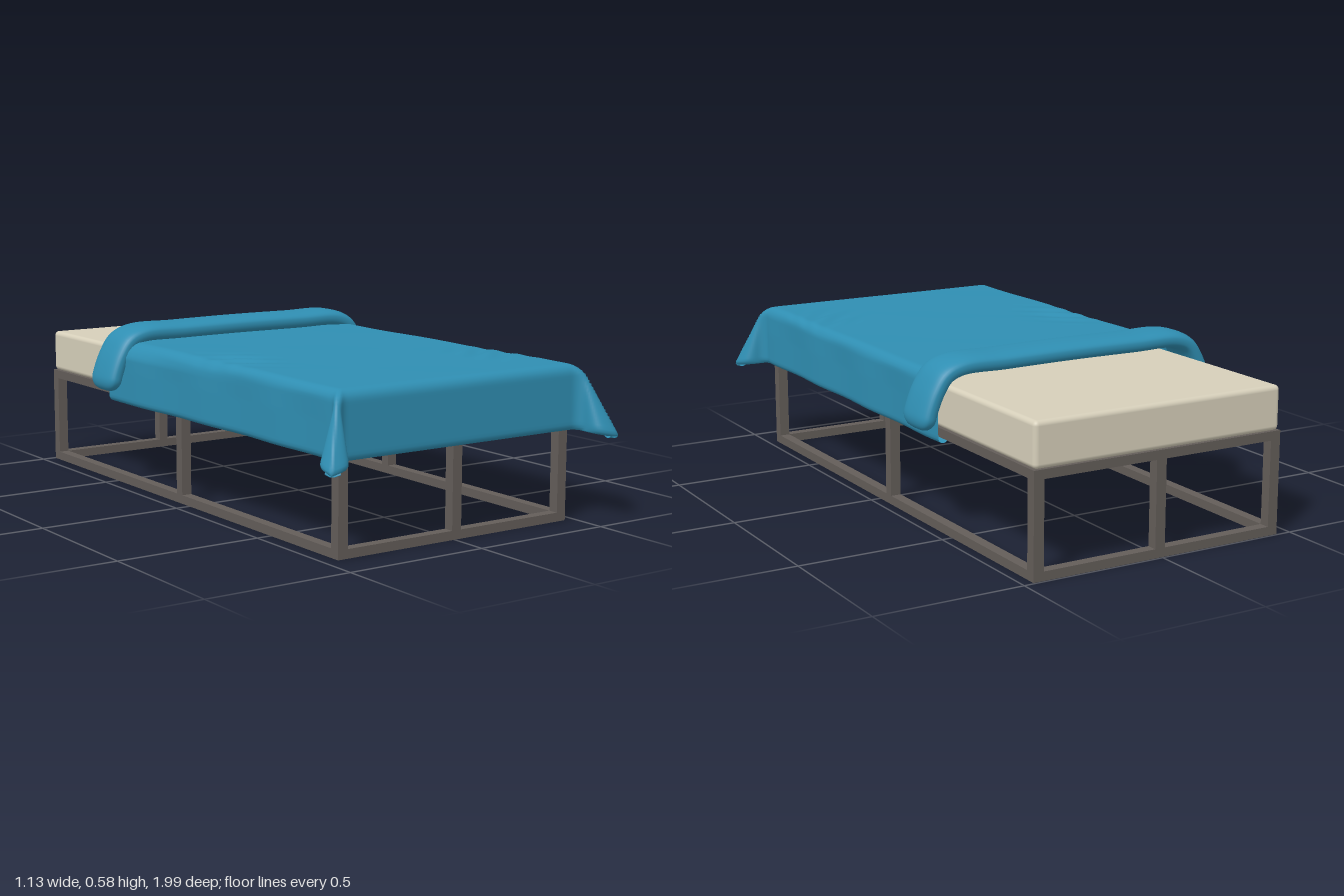
import * as THREE from 'three';
import { RoundedBoxGeometry } from 'three/addons/geometries/RoundedBoxGeometry.js';

const CX = 0.0075; // middle of the bed in x
const X0 = -0.45, X1 = 0.465, Z0 = -0.995, Z1 = 0.868;

function mat(name, color, side = THREE.FrontSide) {
  const m = new THREE.MeshStandardMaterial({ color, side });
  m.name = name;
  return m;
}

// Hangs a flat sheet over an edge: distance past the edge gives outward and downward travel.
function drape(d) {
  const r = 0.035, hang = 0.22, tuck = 0.018;
  if (d <= 0) return [d, 0];
  if (d < r * Math.PI / 2) return [r * Math.sin(d / r), r * (1 - Math.cos(d / r))];
  const down = r + Math.min(d, hang) - r * Math.PI / 2;
  if (d <= hang) return [r, down];
  const a = (d - hang) / tuck; // hem turned in underneath
  return [r - tuck * (1 - Math.cos(a)), down + tuck * Math.sin(a)];
}

// Blanket: sheet draped over three sides, with flared corners at the foot
function blanketGeometry() {
  const hx = 0.447, zFoot = 0.862, over = 0.27, zHead = -0.46, top = 0.522;
  const length = zFoot + over - zHead;
  const g = new THREE.PlaneGeometry(2 * (hx + over), length, 150, 150);
  g.rotateX(-Math.PI / 2);
  const p = g.attributes.position;
  for (let i = 0; i < p.count; i++) {
    const sx = p.getX(i), side = Math.sign(sx) || 1;
    const sz = p.getZ(i) + zHead + length / 2;
    const [ox, downX] = drape(Math.abs(sx) - hx);
    const [oz, downZ] = drape(sz - zFoot);
    let x = hx + ox, z = zFoot + oz;
    const low = Math.min(downX, downZ), high = Math.max(downX, downZ);
    let y = top - high;
    if (low > 0) { // corner fold: fans outward and opens into a rounded lobe
      const ratio = low / high;
      const bulge = 0.03 * Math.sin(Math.PI * ratio) * Math.min(1, high / 0.2);
      const s = downX > downZ ? 1 : -1;
      x += 0.4 * low + s * bulge;
      z += (side > 0 ? 0.49 : 0.41) * low - s * bulge;
      y -= 0.02 * ratio * ratio * Math.min(1, high / 0.2);
    }
    // skirt opens slightly near the head on one side
    if (side < 0) x += 0.028 * Math.pow(THREE.MathUtils.clamp((0.5 - z) / 0.9, 0, 1), 1.5) * Math.min(1, downX / 0.05);
    // soft wrinkles, strongest along the long edges
    if (high < 0.03) {
      const edge = Math.exp(-Math.pow((Math.abs(sx) - 0.38) / 0.08, 2));
      const patch = Math.exp(-Math.pow((z - (side > 0 ? 0.55 : 0.2)) / 0.14, 2));
      y += 0.005 * edge * patch * Math.sin(55 * (z + 0.7 * x)) + 0.0015 * Math.sin(9 * sx + 3) * Math.sin(11 * z);
    } else if (low === 0) {
      x += 0.003 * Math.sin(16 * z + side) * Math.min(1, downX / 0.1);
    }
    p.setXYZ(i, CX + side * x, y, z);
  }
  g.computeVertexNormals();
  return g;
}

// Turned-back band: flattened oval section swept along an arch, closed at both ends
function foldGeometry() {
  const half = [[0.541, 0.352], [0.527, 0.41], [0.5, 0.475], [0.465, 0.523], [0.41, 0.545], [0.25, 0.547]];
  const points = [
    ...half.map(([x, y]) => new THREE.Vector3(-x, y, 0)),
    new THREE.Vector3(0, 0.549, 0),
    ...half.slice().reverse().map(([x, y]) => new THREE.Vector3(x, y, 0)),
  ];
  const curve = new THREE.CatmullRomCurve3(points, false, 'centripetal');
  const len = curve.getLength(), N = 120, M = 36, pos = [], idx = [];
  const power = (v, e) => Math.sign(v) * Math.pow(Math.abs(v), e);
  for (let i = 0; i <= N; i++) {
    const t = (1 - Math.cos(Math.PI * i / N)) / 2;
    const c = curve.getPointAt(t), tan = curve.getTangentAt(t);
    const e = Math.min(1, Math.min(t, 1 - t) * len / 0.045);
    const cap = Math.sqrt(Math.max(0, 1 - (1 - e) * (1 - e)));
    const thick = 0.031 * cap, wide = 0.082 * (0.25 * cap + 0.75 * Math.sqrt(cap));
    for (let j = 0; j < M; j++) {
      const a = j / M * Math.PI * 2;
      const n = thick * power(Math.sin(a), 0.75);
      pos.push(c.x - tan.y * n, c.y + tan.x * n, -0.418 + wide * power(Math.cos(a), 0.75));
      if (i < N) {
        const k = (j + 1) % M, A = i * M, B = A + M;
        idx.push(A + j, B + j, A + k, B + j, B + k, A + k);
      }
    }
  }
  const g = new THREE.BufferGeometry();
  g.setAttribute('position', new THREE.Float32BufferAttribute(pos, 3));
  g.setIndex(idx);
  g.computeVertexNormals();
  return g;
}

export function createModel() {
  const group = new THREE.Group();
  const metal = mat('frame grey', 0x635d59);
  const dark = mat('deck charcoal', 0x484441);
  const cream = mat('mattress cream', 0xd6cfba);
  const blue = mat('blanket blue', 0x2f8eb2, THREE.DoubleSide);

  const add = (name, geometry, material, parent = group) => {
    const mesh = new THREE.Mesh(geometry, material);
    mesh.name = name;
    parent.add(mesh);
    return mesh;
  };
  const bar = (name, parent, x0, x1, y0, y1, z0, z1, material = metal) =>
    add(name, new THREE.BoxGeometry(x1 - x0, y1 - y0, z1 - z0), material, parent)
      .position.set((x0 + x1) / 2, (y0 + y1) / 2, (z0 + z1) / 2);

  // Frame: square tube rails with posts at corners and mid-sides
  const frame = new THREE.Group();
  frame.name = 'frame';
  group.add(frame);
  const w = 0.036, h = 0.03, H = 0.345;
  for (const y of [0, H - h]) {
    for (const x of [X0, X1 - w]) bar('sideRail', frame, x, x + w, y, y + h, Z0, Z1);
    for (const z of [Z0, Z1 - w]) bar('endRail', frame, X0 + w, X1 - w, y, y + h, z, z + w);
  }
  const zMid = -0.0635 - w / 2, xMid = CX - w / 2;
  for (const x of [X0, X1 - w])
    for (const z of [Z0, zMid, Z1 - w]) bar('post', frame, x, x + w, h, H - h, z, z + w);
  for (const z of [Z0, Z1 - w]) bar('middlePost', frame, xMid, xMid + w, h, H - h, z, z + w);

  // Deck panel between the top rails
  bar('deck', group, X0 + w, X1 - w, H - 0.022, H - 0.002, Z0 + w, Z1 - w, dark);

  // Mattress
  add('mattress', new RoundedBoxGeometry(0.909, 0.147, 1.857, 4, 0.016), cream)
    .position.set(CX, 0.418, -0.0645);

  // Bedding
  add('blanket', blanketGeometry(), blue);
  add('blanketFold', foldGeometry(), blue);
  return group;
}
